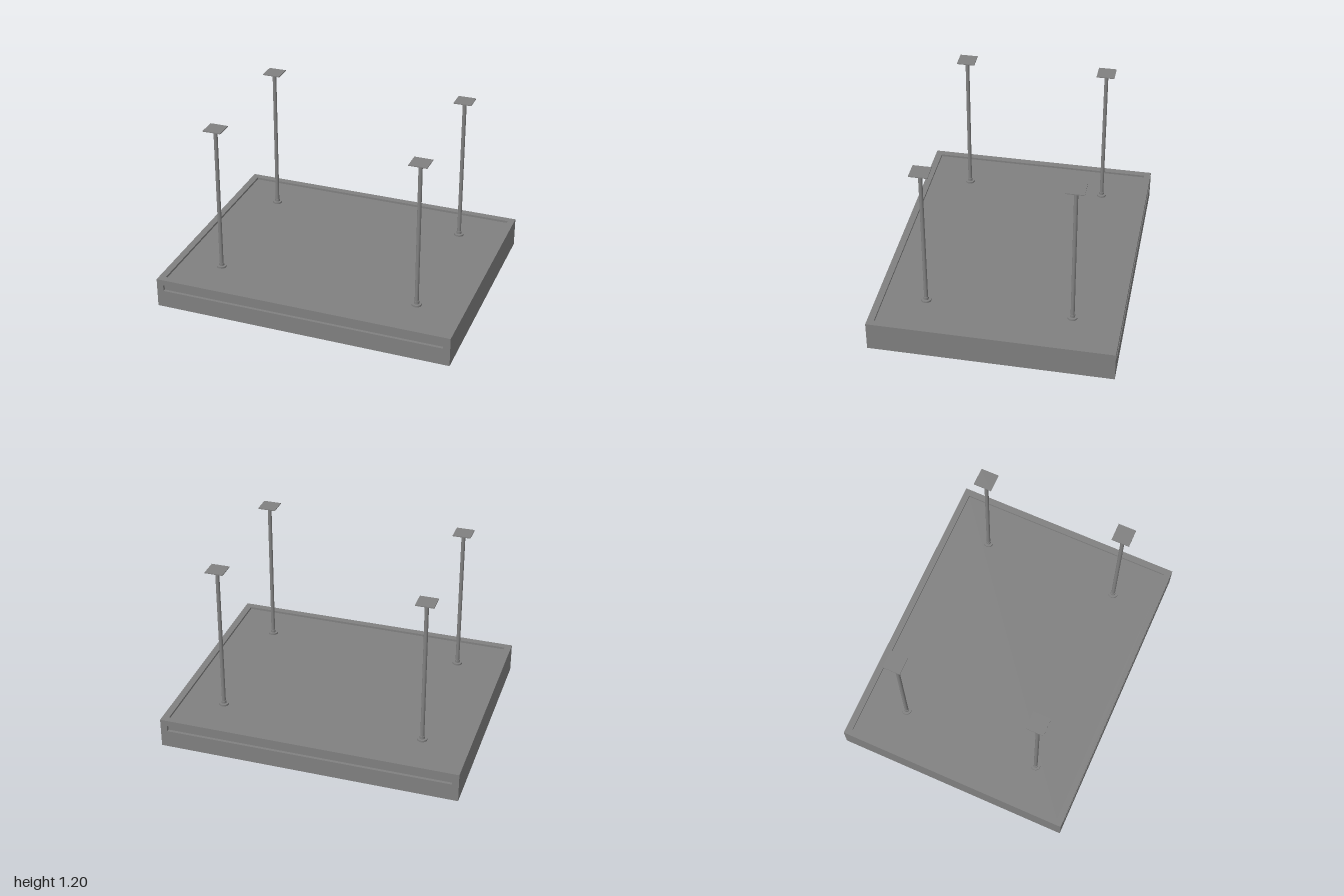
import * as THREE from 'three';
import { mergeGeometries } from 'three/addons/utils/BufferGeometryUtils.js';

const W = 2, H = 0.2, D = 1.6, DEPTH = 0.015, RIM = 0.045;

// Flat panel facing +z with a rectangular recess: face ring, four walls and floor
function recessedPanel(w, h, holeW, holeH, holeY, depth) {
  const rect = (P, rw, rh, cy) => new P([
    new THREE.Vector2(-rw / 2, cy - rh / 2), new THREE.Vector2(rw / 2, cy - rh / 2),
    new THREE.Vector2(rw / 2, cy + rh / 2), new THREE.Vector2(-rw / 2, cy + rh / 2)]);
  const face = rect(THREE.Shape, w, h, 0);
  face.holes.push(rect(THREE.Path, holeW, holeH, holeY));
  const plane = (pw, ph, rx, ry, x, y, z) =>
    new THREE.PlaneGeometry(pw, ph).rotateX(rx).rotateY(ry).translate(x, y, z);
  const q = Math.PI / 2;
  return mergeGeometries([
    new THREE.ShapeGeometry(face),
    plane(holeW, holeH, 0, 0, 0, holeY, -depth),
    plane(holeW, depth, -q, 0, 0, holeY - holeH / 2, -depth / 2),
    plane(holeW, depth, q, 0, 0, holeY + holeH / 2, -depth / 2),
    plane(depth, holeH, 0, q, -holeW / 2, holeY, -depth / 2),
    plane(depth, holeH, 0, -q, holeW / 2, holeY, -depth / 2),
  ]);
}

export function createModel() {
  const model = new THREE.Group();
  model.name = 'suspendedPanel';
  const grey = new THREE.MeshStandardMaterial({ color: 0x808080 });
  grey.name = 'grey';
  const add = (parent, name, geometry, x = 0, y = 0, z = 0) => {
    const mesh = new THREE.Mesh(geometry, grey);
    mesh.name = name;
    mesh.position.set(x, y, z);
    parent.add(mesh);
  };

  // Housing: recessed top and bottom, slotted front and back, plain ends
  const housing = new THREE.Group();
  housing.name = 'housing';
  model.add(housing);
  const q = Math.PI / 2;
  const lid = () => recessedPanel(W, D, W - 2 * RIM, D - 2 * RIM, 0, DEPTH);
  const slotted = () => recessedPanel(W, H, W - 2 * RIM, 0.042, 0.04, 0.02);
  add(housing, 'top', lid().rotateX(-q), 0, H, 0);
  add(housing, 'bottom', lid().rotateX(q));
  add(housing, 'frontWithSlot', slotted(), 0, H / 2, D / 2);
  add(housing, 'backWithSlot', slotted().rotateY(Math.PI), 0, H / 2, -D / 2);
  for (const s of [1, -1]) {
    add(housing, s > 0 ? 'leftEnd' : 'rightEnd',
      new THREE.PlaneGeometry(D, H).rotateY(s * q), s * W / 2, H / 2, 0);
  }

  // Four hanging rods, each with a base flange, collar and square ceiling plate
  const floor = H - DEPTH;
  for (const sx of [1, -1]) for (const sz of [1, -1]) {
    const hanger = new THREE.Group();
    hanger.name = (sz > 0 ? 'front' : 'back') + (sx > 0 ? 'Left' : 'Right') + 'Hanger';
    hanger.position.set(sx * 0.68, 0, sz * 0.48);
    model.add(hanger);
    add(hanger, 'flange', new THREE.CylinderGeometry(0.033, 0.033, 0.012, 24), 0, floor + 0.006, 0);
    add(hanger, 'collar', new THREE.CylinderGeometry(0.017, 0.017, 0.03, 24), 0, floor + 0.015, 0);
    add(hanger, 'rod', new THREE.CylinderGeometry(0.013, 0.013, 1.196 - floor, 24), 0, (1.196 + floor) / 2, 0);
    add(hanger, 'ceilingPlate', new THREE.BoxGeometry(0.12, 0.006, 0.12), 0, 1.197, 0);
  }
  return model;
}
